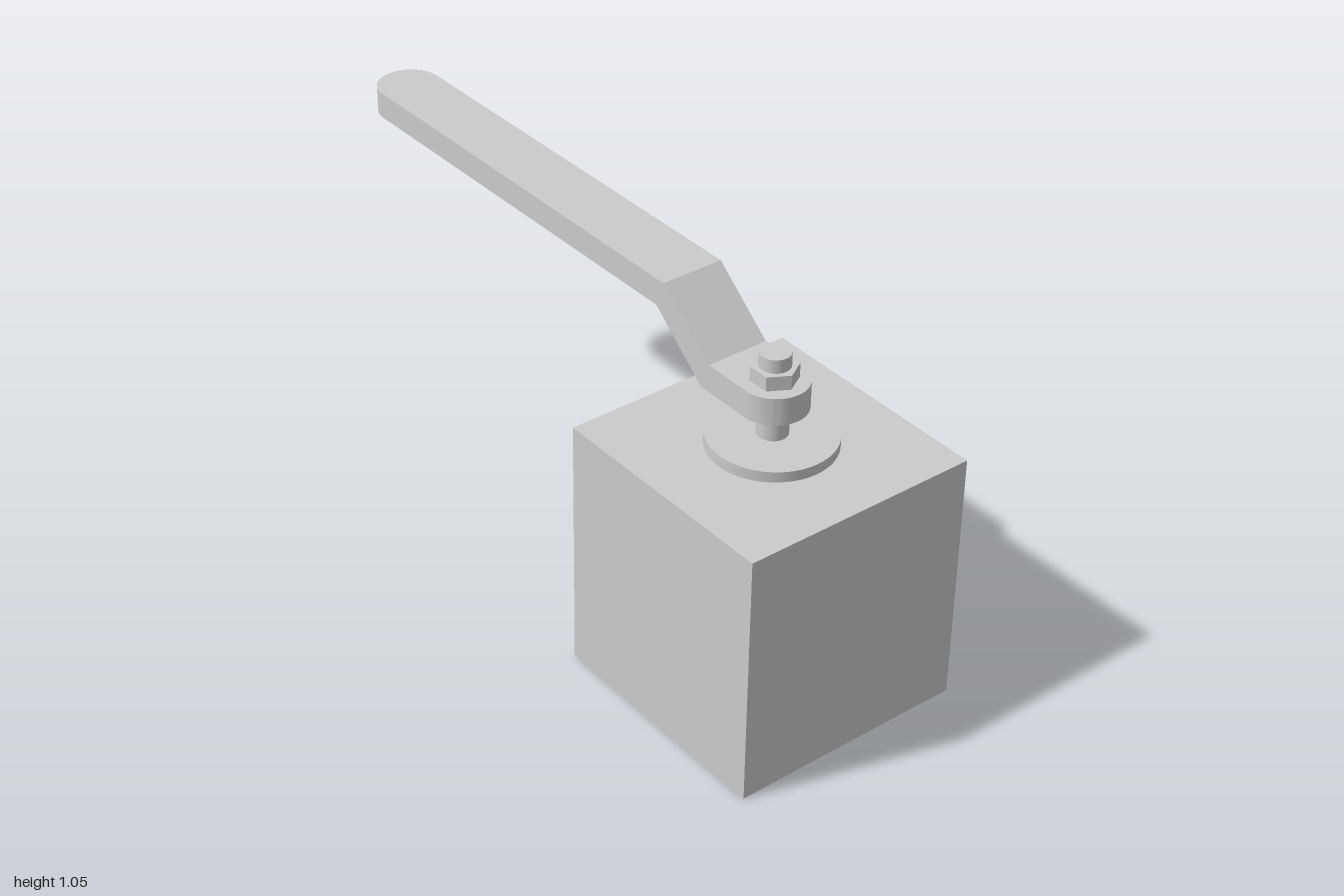
import * as THREE from 'three';
import { toCreasedNormals } from 'three/addons/utils/BufferGeometryUtils.js';

const AXIS_X = 0.655, AXIS_Z = -0.0115; // shared spindle axis
const HALF_W = 0.09;                    // half width of the lever

// Cranked flat bar with half-round ends, lofted through stations along x
function leverGeometry() {
  const stations = []; // [top x, top y, bottom x, bottom y, half width]
  const steps = 16;
  for (let i = 0; i <= steps; i++) {
    const a = (i / steps) * Math.PI / 2;
    const x = -0.91 - HALF_W * Math.cos(a);
    stations.push([x, 1.055, x, 0.98, HALF_W * Math.sin(a)]);
  }
  stations.push([0.335, 1.055, 0.307, 0.98, HALF_W]);
  stations.push([0.515, 0.91, 0.487, 0.833, HALF_W]);
  for (let i = 0; i <= steps; i++) {
    const a = (i / steps) * Math.PI / 2;
    const x = AXIS_X + HALF_W * Math.sin(a);
    stations.push([x, 0.91, x, 0.833, HALF_W * Math.cos(a)]);
  }
  // Corner order: top front, top back, bottom back, bottom front
  const positions = stations.flatMap(([xt, yt, xb, yb, w]) =>
    [xt, yt, w, xt, yt, -w, xb, yb, -w, xb, yb, w]);
  const index = [];
  for (let s = 0; s < stations.length - 1; s++) {
    for (let k = 0; k < 4; k++) {
      const a = s * 4 + k, b = s * 4 + (k + 1) % 4;
      index.push(a, a + 4, b, b, a + 4, b + 4);
    }
  }
  const geometry = new THREE.BufferGeometry();
  geometry.setAttribute('position', new THREE.Float32BufferAttribute(positions, 3));
  geometry.setIndex(index);
  return toCreasedNormals(geometry.toNonIndexed(), 0.5);
}

export function createModel() {
  const model = new THREE.Group();
  model.name = 'leverOnBlock';
  const smooth = new THREE.MeshStandardMaterial({ color: 0xcccccc });
  const flat = new THREE.MeshStandardMaterial({ color: 0xcccccc, flatShading: true });

  const add = (name, geometry, material, x, y, z) => {
    const mesh = new THREE.Mesh(geometry, material);
    mesh.name = name;
    mesh.position.set(x, y, z);
    model.add(mesh);
    return mesh;
  };
  // Cylinder on the spindle axis between two heights
  const turned = (name, radius, y0, y1, sides = 48, material = smooth) =>
    add(name, new THREE.CylinderGeometry(radius, radius, y1 - y0, sides),
      material, AXIS_X, (y0 + y1) / 2, AXIS_Z);

  // Body block
  add('block', new THREE.BoxGeometry(0.69, 0.722, 0.676), flat, 0.655, 0.361, 0);

  // Washer plate, leaning very slightly toward +x
  turned('washerPlate', 0.168, 0.718, 0.754, 64).rotation.z = -0.015;

  // Spindle running up through the lever and nut
  turned('spindle', 0.041, 0.72, 0.988);

  // Hexagonal nut, corners toward +x and -x
  turned('nut', 0.062, 0.91, 0.95, 6, flat).rotation.y = Math.PI / 6;

  // Lever handle
  add('lever', leverGeometry(), smooth, 0, 0, AXIS_Z);

  return model;
}
